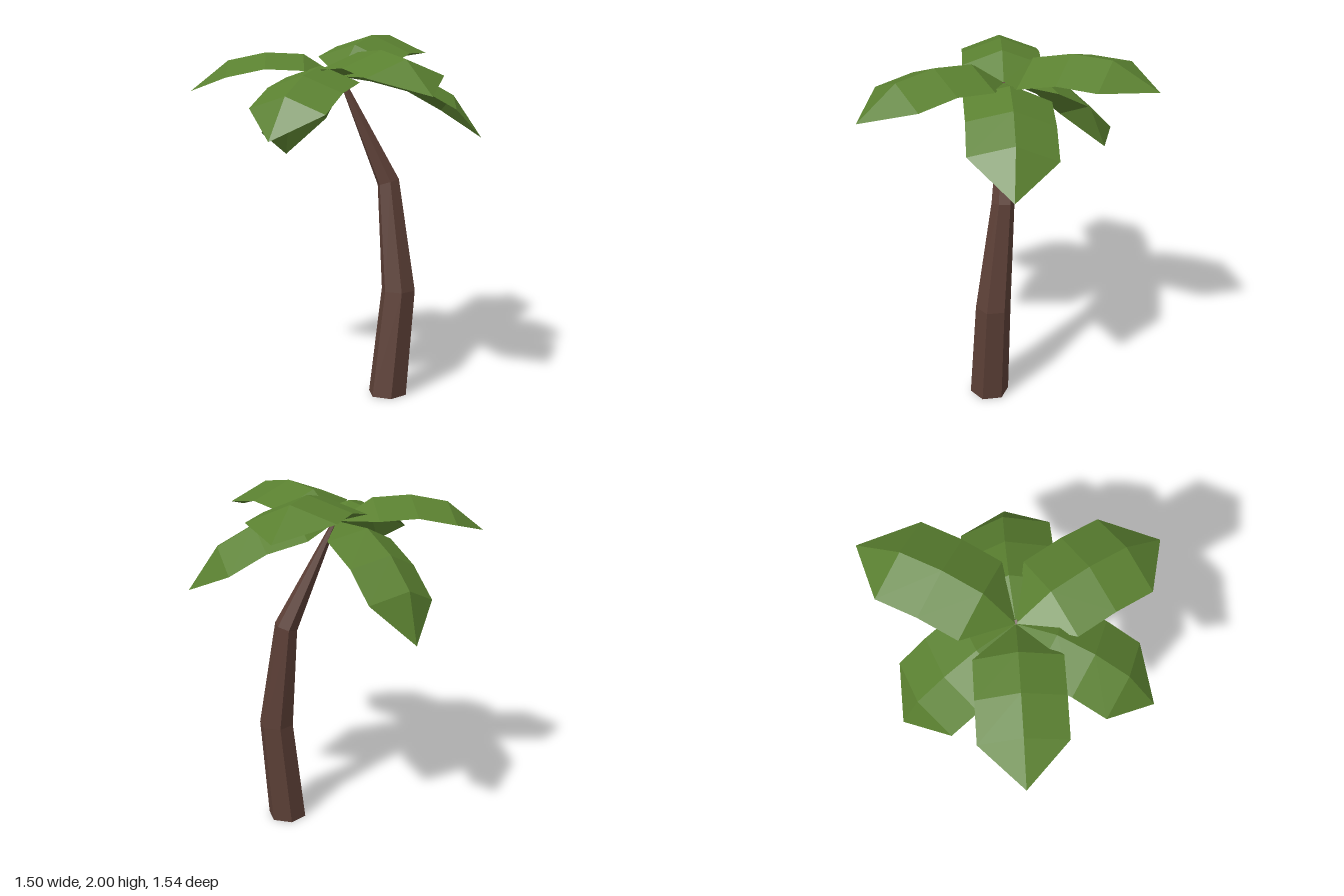
import * as THREE from 'three';

const bark = new THREE.MeshStandardMaterial({ color: 0x5d4037, flatShading: true });
bark.name = 'bark brown';
const green = new THREE.MeshStandardMaterial({ color: 0x5a8030, flatShading: true, side: THREE.DoubleSide });
green.name = 'leaf green';

// Bent, tapering six-sided trunk: one entry per ring, from bottom to top
function makeTrunk() {
  const rings = [
    { x: 0.15, y: 0, z: -0.08, r: 0.11, tiltX: 0, tiltZ: 0 },
    { x: 0.175, y: 0.6, z: -0.138, r: 0.097, tiltX: 0, tiltZ: 0 },
    { x: 0.097, y: 1.2, z: -0.135, r: 0.062, tiltX: 0.26, tiltZ: -0.16 },
    { x: -0.095, y: 1.785, z: 0.05, r: 0.012, tiltX: 0.3, tiltZ: -0.2 },
  ];
  const geo = new THREE.CylinderGeometry(1, 1, 3, 6, 3, false, -0.1);
  const pos = geo.attributes.position;
  for (let i = 0; i < pos.count; i++) {
    const ring = rings[Math.round(pos.getY(i) + 1.5)];
    const dx = pos.getX(i) * ring.r, dz = pos.getZ(i) * ring.r;
    pos.setXYZ(i, ring.x + dx, ring.y + dx * ring.tiltX + dz * ring.tiltZ, ring.z + dz);
  }
  geo.computeVertexNormals();
  const trunk = new THREE.Mesh(geo, bark);
  trunk.name = 'trunk';
  return trunk;
}

// Arched leaf along +x, folded down on both sides of its midrib
function makeLeafGeometry() {
  const rib = [[0, 0], [0.198, 0.135], [0.416, 0.151], [0.635, 0.112], [0.86, -0.057]];
  const halfWidth = 0.233, drop = 0.086;
  const verts = [];
  const tri = (...corners) => corners.forEach((c) => verts.push(...c));
  const mid = (i) => [rib[i][0], rib[i][1], 0];
  for (const side of [1, -1]) {
    const edge = (i) => [rib[i][0], rib[i][1] - drop, side * halfWidth];
    // swap corners on the mirrored half so that the top stays the front
    const face = (a, b, c) => (side > 0 ? tri(a, b, c) : tri(a, c, b));
    face(mid(0), edge(1), mid(1));
    for (let i = 1; i < 3; i++) {
      face(mid(i), edge(i), edge(i + 1));
      face(mid(i), edge(i + 1), mid(i + 1));
    }
    face(mid(3), edge(3), mid(4));
  }
  const geo = new THREE.BufferGeometry();
  geo.setAttribute('position', new THREE.Float32BufferAttribute(verts, 3));
  geo.computeVertexNormals();
  return geo;
}

export function createModel() {
  const model = new THREE.Group();
  model.name = 'palmTree';
  model.add(makeTrunk());

  const crown = new THREE.Group();
  crown.name = 'crown';
  crown.position.set(-0.1, 1.78, 0.055);
  model.add(crown);

  // Outward direction (x, z), pitch in degrees, roll and size of each leaf
  const leaves = [
    { name: 'leftLeaf', dir: [0.85, 0.195], pitch: 0, roll: 0, size: 1.01 },
    { name: 'backLeftLeaf', dir: [0.52, -0.595], pitch: -19.5, roll: -0.1, size: 1 },
    { name: 'backLeaf', dir: [-0.26, -0.825], pitch: 9.2, roll: 0.07, size: 1.01 },
    { name: 'rightLeaf', dir: [-0.65, -0.175], pitch: -32.8, roll: -0.16, size: 0.975 },
    { name: 'frontRightLeaf', dir: [-0.545, 0.59], pitch: -1.7, roll: 0, size: 0.935 },
    { name: 'frontLeaf', dir: [0.245, 0.71], pitch: -16.6, roll: -0.04, size: 0.935 },
  ];
  const leafGeometry = makeLeafGeometry();
  for (const { name, dir, pitch, roll, size } of leaves) {
    const leaf = new THREE.Mesh(leafGeometry, green);
    leaf.name = name;
    leaf.rotation.set(roll, Math.atan2(-dir[1], dir[0]), THREE.MathUtils.degToRad(pitch), 'YZX');
    leaf.scale.setScalar(size);
    crown.add(leaf);
  }
  return model;
}
